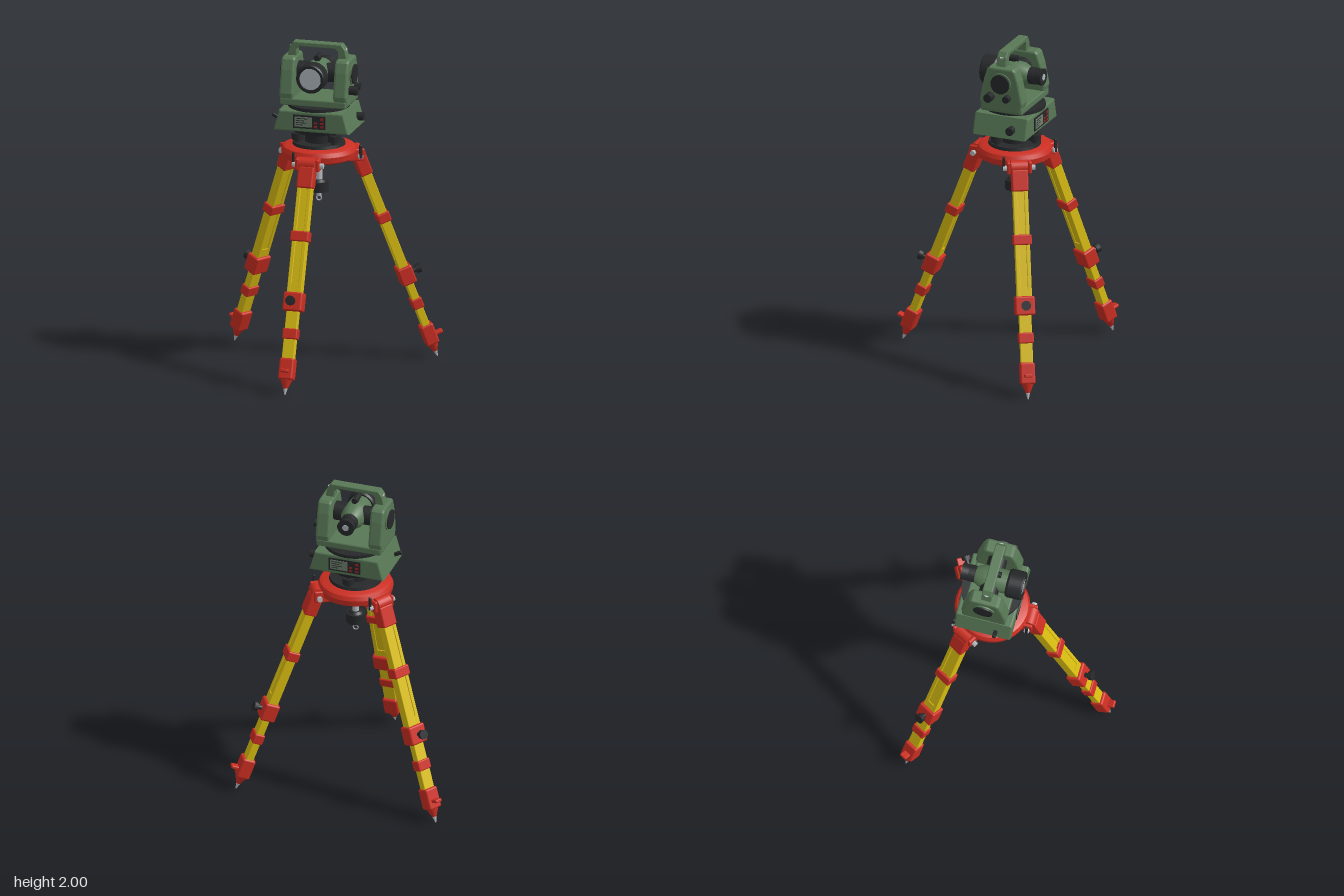
import * as THREE from 'three';
import { toCreasedNormals } from 'three/addons/utils/BufferGeometryUtils.js';
import { RoundedBoxGeometry } from 'three/addons/geometries/RoundedBoxGeometry.js';

const mat = (name, color) => {
  const m = new THREE.MeshStandardMaterial({ color });
  m.name = name;
  return m;
};
const GREEN = mat('body green', 0x587856);
const RED = mat('bracket red', 0xcb2e22);
const YELLOW = mat('leg yellow', 0xdabe12);
const BLACK = mat('black', 0x26282a);
const STEEL = mat('steel', 0xb9bdc0);
const GLASS = mat('lens glass', 0xb0b8be);
const SCREEN = mat('screen grey green', 0x71836f);
const KEY = mat('key red', 0x9c2320);

function add(parent, name, geometry, material, x = 0, y = 0, z = 0) {
  const mesh = new THREE.Mesh(geometry, material);
  mesh.name = name;
  mesh.position.set(x, y, z);
  parent.add(mesh);
  return mesh;
}
const box = (w, h, d, r = 0.008) => r ? new RoundedBoxGeometry(w, h, d, 2, r) : new THREE.BoxGeometry(w, h, d);
// Cylinder along a chosen axis; the first radius is at the positive end
function cyl(r1, r2, h, axis = 'y', sides = 28) {
  const g = new THREE.CylinderGeometry(r1, r2, h, sides);
  if (axis === 'x') g.rotateZ(-Math.PI / 2);
  if (axis === 'z') g.rotateX(Math.PI / 2);
  return g;
}
const lathe = (pts, sides = 48) =>
  toCreasedNormals(new THREE.LatheGeometry(pts.map(p => new THREE.Vector2(...p)), sides), 0.5);

// Extruded outline, centred in depth, with a small bevel kept inside the outline
function slab(pts, depth, bevel) {
  const shape = new THREE.Shape(pts.map(p => new THREE.Vector2(...p)));
  const g = new THREE.ExtrudeGeometry(shape, {
    depth: depth - 2 * bevel, bevelEnabled: true, bevelSize: bevel, bevelThickness: bevel,
    bevelOffset: -bevel, bevelSegments: 3,
  });
  return g.translate(0, 0, -depth / 2 + bevel);
}

// One leg pointing towards +z; s is the distance from the tip along the leg
function makeLeg() {
  const leg = new THREE.Group();
  leg.name = 'leg';
  const beam = new THREE.Group();
  beam.name = 'legBeam';
  beam.position.set(0, 0, 0.73);
  beam.rotation.x = -0.363;
  leg.add(beam);

  // Foot
  add(beam, 'steelTip', cyl(0.014, 0.003, 0.04, 'y', 16), STEEL, 0, 0.02, 0);
  add(beam, 'footCone', cyl(0.04, 0.014, 0.06, 'y', 20), RED, 0, 0.068, 0);
  add(beam, 'footShoe', box(0.09, 0.13, 0.082, 0.012), RED, 0, 0.155, 0);
  add(beam, 'footPeg', box(0.046, 0.02, 0.085, 0.006), RED, 0, 0.14, 0.042);

  // Sliding lower leg and framed upper leg
  add(beam, 'lowerLeg', box(0.074, 0.45, 0.046, 0.004), YELLOW, 0, 0.42, 0);
  for (const s of [-1, 1]) add(beam, 'upperRail', box(0.024, 0.76, 0.058, 0.004), YELLOW, s * 0.033, 0.94, 0);
  add(beam, 'upperPanel', box(0.044, 0.66, 0.046, 0), YELLOW, 0, 0.99, 0);
  add(beam, 'upperFoot', box(0.05, 0.11, 0.057, 0), YELLOW, 0, 0.615, 0);

  // Straps, clamp and clamp screw
  add(beam, 'lowerStrap', box(0.092, 0.064, 0.066), RED, 0, 0.367, 0);
  add(beam, 'middleStrap', box(0.113, 0.062, 0.078), RED, 0, 0.955, 0);
  add(beam, 'clamp', box(0.12, 0.115, 0.092, 0.012), RED, 0, 0.56, 0);
  add(beam, 'clampScrew', cyl(0.014, 0.014, 0.04, 'z', 16), BLACK, 0, 0.56, 0.06);
  add(beam, 'clampKnob', cyl(0.03, 0.027, 0.026, 'z', 12), BLACK, 0, 0.56, 0.085);

  // Top bracket with its hinge
  add(beam, 'topBracket', box(0.1, 0.13, 0.078, 0.01), RED, 0, 1.31, 0);
  add(leg, 'hingeBarrel', cyl(0.042, 0.042, 0.1, 'x'), RED, 0, 1.3, 0.235);
  for (const s of [-1, 1]) {
    add(leg, 'hingeLug', box(0.022, 0.075, 0.1, 0.008), RED, s * 0.064, 1.3, 0.215);
    add(leg, 'hingeBolt', cyl(0.017, 0.017, 0.026, 'x', 6), STEEL, s * 0.084, 1.295, 0.235);
  }
  add(leg, 'hingeLever', box(0.014, 0.085, 0.018, 0.004), BLACK, -0.092, 1.325, 0.235);
  return leg;
}

function makeTripod() {
  const g = new THREE.Group();
  g.name = 'tripod';
  add(g, 'tripodHead', lathe([[0, 1.285], [0.195, 1.285], [0.222, 1.3], [0.227, 1.335], [0.215, 1.36], [0.195, 1.37], [0, 1.37]]), RED);
  for (let i = 0; i < 3; i++) {
    const leg = makeLeg();
    leg.rotation.y = i * Math.PI * 2 / 3;
    g.add(leg);
  }
  // Central fixing screw
  add(g, 'fixingShaft', cyl(0.02, 0.02, 0.2), STEEL, 0, 1.2, 0);
  add(g, 'fixingKnob', cyl(0.058, 0.058, 0.06, 'y', 12), BLACK, 0, 1.105, 0);
  add(g, 'fixingCollar', cyl(0.03, 0.045, 0.014), BLACK, 0, 1.142, 0);
  add(g, 'fixingEnd', cyl(0.018, 0.014, 0.03), STEEL, 0, 1.06, 0);
  add(g, 'plumbHook', new THREE.TorusGeometry(0.015, 0.004, 8, 20), STEEL, 0, 1.032, 0);
  return g;
}

function makeLevellingBase() {
  const g = new THREE.Group();
  g.name = 'levellingBase';
  add(g, 'footPlate', cyl(0.155, 0.16, 0.02), BLACK, 0, 1.378, 0);
  add(g, 'baseCore', cyl(0.085, 0.085, 0.08), BLACK, 0, 1.42, 0);
  add(g, 'upperPlate', cyl(0.16, 0.15, 0.025), BLACK, 0, 1.465, 0);
  for (let i = 0; i < 3; i++) {
    const a = Math.PI + i * Math.PI * 2 / 3;
    const x = Math.sin(a) * 0.132, z = Math.cos(a) * 0.132;
    add(g, 'footScrew', cyl(0.016, 0.016, 0.1, 'y', 16), BLACK, x, 1.42, z);
    add(g, 'footScrewKnob', cyl(0.037, 0.037, 0.04, 'y', 14), BLACK, x, 1.425, z);
  }
  return g;
}

// Display and keys, facing +z
function makeControlPanel() {
  const g = new THREE.Group();
  g.name = 'controlPanel';
  add(g, 'panelPlate', box(0.2, 0.082, 0.008, 0), BLACK, -0.01, 0, 0);
  add(g, 'screen', box(0.11, 0.062, 0.004, 0), SCREEN, -0.045, 0, 0.004);
  [0.07, 0.05, 0.065, 0.04].forEach((w, i) =>
    add(g, 'screenLine', box(w, 0.004, 0.002, 0), BLACK, -0.09 + w / 2, 0.02 - i * 0.013, 0.006));
  add(g, 'powerKey', box(0.02, 0.016, 0.004, 0), KEY, 0.07, 0.022, 0.005);
  for (const y of [-0.004, -0.026])
    for (const x of [0.03, 0.07]) add(g, 'key', box(0.02, 0.012, 0.004, 0), KEY, x, y, 0.005);
  return g;
}

function makeInstrument() {
  const g = new THREE.Group();
  g.name = 'surveyInstrument';

  // Lower housing
  add(g, 'lowerHousing', slab([[-0.235, 1.48], [0.235, 1.48], [0.2, 1.608], [-0.2, 1.608]], 0.35, 0.012), GREEN);
  for (const s of [0, 1]) {
    const p = makeControlPanel();
    p.position.set(0, 1.545, s ? -0.176 : 0.176);
    p.rotation.y = s * Math.PI;
    g.add(p);
  }
  add(g, 'lowerKnob', cyl(0.025, 0.025, 0.05, 'x', 14), BLACK, 0.232, 1.535, -0.075);
  add(g, 'sideLever', box(0.06, 0.022, 0.024, 0.006), BLACK, -0.24, 1.54, 0.08).rotation.z = -0.45;
  add(g, 'bearingRing', cyl(0.186, 0.186, 0.02, 'y', 48), BLACK, 0, 1.617, 0);

  // Yoke
  add(g, 'yokeBase', box(0.41, 0.045, 0.27, 0.01), GREEN, 0, 1.65, 0);
  const profile = [[-0.125, 1.635], [0.125, 1.635], [0.14, 1.7], [0.112, 1.84], [0.092, 1.9], [0.075, 1.915],
    [-0.075, 1.915], [-0.092, 1.9], [-0.112, 1.84], [-0.14, 1.7]];
  for (const s of [-1, 1]) {
    add(g, 'standard', slab(profile, 0.085, 0.014).rotateY(-Math.PI / 2), GREEN, s * 0.167, 0, 0);
    add(g, 'standardCover', cyl(0.068, 0.068, 0.012, 'x', 32), GREEN, s * 0.212, 1.815, 0);
    add(g, 'axisCap', cyl(0.06, 0.06, 0.014, 'x', 32), BLACK, s * 0.219, 1.815, 0);
    add(g, 'handleBolt', cyl(0.015, 0.015, 0.012, 'y', 16), STEEL, s * 0.163, 1.968, 0.01).rotation.z = -s * 0.32;
  }
  add(g, 'focusKnob', cyl(0.027, 0.027, 0.055, 'x', 14), BLACK, 0.234, 1.73, 0.065);
  add(g, 'clampKnob', cyl(0.022, 0.022, 0.04, 'x', 14), BLACK, 0.224, 1.73, -0.045);

  // Carrying handle
  add(g, 'handle', slab([[-0.187, 1.9], [-0.172, 1.97], [-0.15, 2], [0.15, 2], [0.172, 1.97], [0.187, 1.9],
    [0.13, 1.9], [0.128, 1.955], [0.11, 1.972], [-0.11, 1.972], [-0.128, 1.955], [-0.13, 1.9]], 0.062, 0.006), GREEN, 0, 0, 0.01);

  // Telescope, with its sighting axis along z
  const t = new THREE.Group();
  t.name = 'telescope';
  t.position.y = 1.815;
  g.add(t);
  add(t, 'crossAxle', cyl(0.058, 0.058, 0.27, 'x'), BLACK);
  add(t, 'telescopeBody', lathe([[0, -0.11], [0.048, -0.11], [0.072, -0.06], [0.078, 0], [0.072, 0.07], [0.07, 0.12], [0, 0.12]]).rotateX(Math.PI / 2), GREEN);
  add(t, 'objectiveBarrel', lathe([[0.05, 0.095], [0.08, 0.095], [0.088, 0.108], [0.088, 0.188], [0.082, 0.196],
    [0.068, 0.196], [0.066, 0.184], [0, 0.184]]).rotateX(Math.PI / 2), BLACK);
  add(t, 'objectiveLens', cyl(0.066, 0.066, 0.006, 'z', 36), GLASS, 0, 0, 0.186);
  add(t, 'focusRing', cyl(0.052, 0.052, 0.045, 'z', 18), BLACK, 0, 0, -0.122);
  add(t, 'eyepieceTube', cyl(0.04, 0.04, 0.03, 'z'), BLACK, 0, 0, -0.15);
  add(t, 'eyepiece', cyl(0.048, 0.053, 0.045, 'z'), BLACK, 0, 0, -0.166);
  add(t, 'eyepieceGlass', cyl(0.02, 0.02, 0.004, 'z'), GLASS, 0, 0, -0.189);
  add(t, 'sightMount', box(0.026, 0.03, 0.05, 0.005), BLACK, 0, 0.082, 0.015);
  add(t, 'sightTube', cyl(0.018, 0.018, 0.08, 'z', 16), BLACK, 0, 0.095, 0.015);
  return g;
}

export function createModel() {
  const model = new THREE.Group();
  model.name = 'surveyingTripodInstrument';
  const body = new THREE.Group();
  body.name = 'assembly';
  body.position.z = -0.18;
  body.add(makeTripod(), makeLevellingBase(), makeInstrument());
  model.add(body);
  return model;
}
